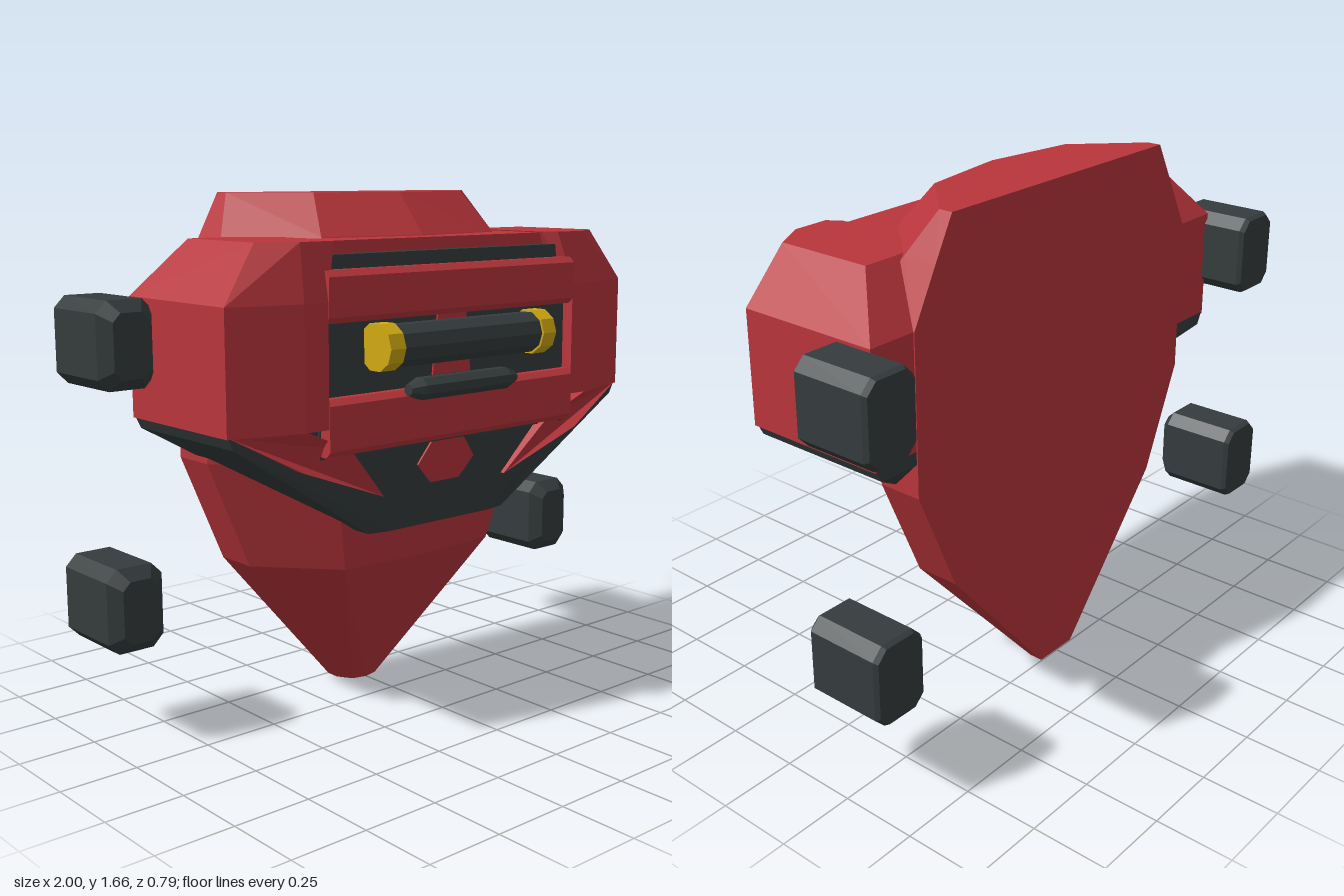
import * as THREE from 'three';

const mat = (name, color) => {
  const m = new THREE.MeshStandardMaterial({ color });
  m.name = name;
  return m;
};

// Joins equal-length rings of [x, y, z] points into a closed, faceted solid.
function loft(rings) {
  const tris = [];
  const n = rings[0].length;
  for (let r = 0; r < rings.length - 1; r++) {
    const a = rings[r], b = rings[r + 1];
    for (let i = 0; i < n; i++) {
      const j = (i + 1) % n;
      tris.push([a[i], a[j], b[j]], [a[i], b[j], b[i]]);
    }
  }
  const first = rings[0], last = rings[rings.length - 1];
  for (let i = 1; i < n - 1; i++) {
    tris.push([first[0], first[i + 1], first[i]], [last[0], last[i], last[i + 1]]);
  }
  // Turn the faces outward whichever way the rings run
  let volume = 0;
  const [a, b, c] = [0, 1, 2].map(() => new THREE.Vector3());
  for (const t of tris) {
    volume += a.set(...t[0]).dot(b.set(...t[1]).cross(c.set(...t[2])));
  }
  if (volume < 0) tris.forEach((t) => t.reverse());
  const g = new THREE.BufferGeometry();
  g.setAttribute('position', new THREE.Float32BufferAttribute(tris.flat(2), 3));
  g.computeVertexNormals();
  return g;
}

// Horizontal ring at height y; half sections are mirrored to both sides.
const level = (y, pts) => pts.map(([x, z]) => [x, y, z]);
const mirrored = (pts) => [...pts, ...pts.filter(([x]) => x !== 0).reverse().map(([x, z]) => [-x, z])];

// Rectangle with cut corners
const octagon = (w, h, c) => [
  [w, -h + c], [w, h - c], [w - c, h], [-w + c, h],
  [-w, h - c], [-w, -h + c], [-w + c, -h], [w - c, -h],
];

export function createModel() {
  const red = mat('red armour', 0xb9353c);
  const dark = mat('dark grey', 0x353c3d);
  const gold = mat('gold', 0xd2aa12);
  const model = new THREE.Group();
  const add = (name, geometry, material, x = 0, y = 0, z = 0) => {
    const m = new THREE.Mesh(geometry, material);
    m.name = name;
    m.position.set(x, y, z);
    model.add(m);
    return m;
  };

  // Tapered torso: [height, half width, side z, crease x, crease z, centre z]
  const torso = [
    [0, 0.08, -0.2, 0.05, -0.15, -0.137],
    [0.5, 0.51, -0.1, 0.31, 0.13, 0.15],
    [0.85, 0.66, -0.1, 0.39, 0.19, 0.22],
    [1.36, 0.66, -0.04, 0.4, 0.2, 0.23],
    [1.53, 0.57, -0.13, 0.36, 0.09, 0.145],
    [1.66, 0.5, -0.2, 0.31, -0.01, 0.035],
  ];
  add('torso', loft(torso.map(([y, w, zs, xf, zf, zc]) =>
    level(y, mirrored([[w, -0.247], [w, zs], [xf, zf], [0, zc]])))), red);

  // Dark belly wedge
  add('belly', loft([
    level(0.63, mirrored([[0.29, 0.07], [0.29, 0.22], [0.22, 0.235]])),
    level(0.96, mirrored([[0.8, -0.243], [0.8, 0.245], [0.6, 0.265]])),
    level(1.0, mirrored([[0.82, -0.243], [0.82, 0.247], [0.6, 0.27]])),
  ]), dark);

  // Dark core behind the grille, and the red deck over it
  add('grilleCore', new THREE.BoxGeometry(1.04, 0.59, 0.47), dark, 0, 1.195, 0.04);
  add('topDeck', new THREE.BoxGeometry(0.92, 0.13, 0.23), red, 0, 1.462, 0.115);
  add('deckGroove', new THREE.BoxGeometry(0.94, 0.1, 0.08), dark, 0, 1.44, 0.232);

  // Shoulder blocks and the flaps hanging from them
  const shoulder = [[0.5, -0.243], [0.825, -0.243], [0.825, 0.25], [0.6, 0.315], [0.515, 0.315], [0.515, 0.25]];
  const shoulderTop = [[0.44, -0.11], [0.7, -0.11], [0.7, 0.22], [0.59, 0.285], [0.47, 0.285], [0.44, 0.24]];
  const flap = [
    [0.822, 1.0, 0.25], [0.58, 0.87, 0.28], [0.3, 0.765, 0.262],
    [0.26, 0.75, 0.26], [0.42, 0.92, 0.3], [0.6, 1.0, 0.315],
  ];
  for (const s of [1, -1]) {
    const flip = (ring) => ring.map(([x, y, z]) => [s * x, y, z]);
    const side = s > 0 ? 'left' : 'right';
    add(side + 'Shoulder', loft([level(0.995, shoulder), level(1.36, shoulder), level(1.53, shoulderTop)].map(flip)), red);
    add(side + 'Flap', loft([flap, flap.map(([x, y, z]) => [x, y, z - 0.06])].map(flip)), red);
  }

  // Grille bars with chamfered edges
  for (const [name, y, h] of [['upperBar', 1.373, 0.076], ['lowerBar', 0.995, 0.085]]) {
    const ring = (x) => octagon(h, 0.05, 0.018).map(([v, z]) => [x, y + v, 0.268 + z]);
    add(name, loft([ring(-0.515), ring(0.515)]), red);
  }

  // Thin red plates on the dark front
  const plate = (name, pts, zLow, zHigh, yLow, yHigh) => {
    const ring = (d) => pts.map(([x, y]) => [x, y, zLow + (zHigh - zLow) * (y - yLow) / (yHigh - yLow) + d]);
    add(name, loft([ring(0), ring(0.009)]), red);
  };
  plate('bellyPlate', [[-0.12, 0.83], [-0.06, 0.765], [0.06, 0.765], [0.12, 0.83], [0.06, 0.91], [-0.06, 0.91]],
    0.244, 0.259, 0.765, 0.91);
  plate('grillePlate', [[-0.08, 1.11], [0.08, 1.11], [0.06, 1.3], [-0.06, 1.3]], 0.272, 0.272, 1.11, 1.3);

  // Horizontal canister with gold end caps
  const tube = (r, len) => new THREE.CylinderGeometry(r, r, len, 10).toNonIndexed().rotateZ(Math.PI / 2);
  const faceted = (g) => { g.computeVertexNormals(); return g; };
  add('canister', faceted(tube(0.066, 0.62)), dark, 0, 1.22, 0.323);
  for (const s of [1, -1]) add('canisterCap', faceted(tube(0.073, 0.058)), gold, s * 0.321, 1.22, 0.323);

  // Small handle with tapered ends
  const handleRing = (x, k) => octagon(0.033 * k, 0.035 * k, 0.02 * k).map(([v, z]) => [x, 1.083 + v, 0.33 + z]);
  add('handle', loft([handleRing(-0.225, 0.5), handleRing(-0.18, 1), handleRing(0.18, 1), handleRing(0.225, 0.5)]), dark);

  // Four free-standing pads, chamfered at the front end
  const padRing = (z, inset) => octagon(0.095 - inset, 0.132 - inset, 0.036 - inset * 0.3).map(([x, y]) => [x, y, z]);
  const pad = loft([padRing(-0.395, 0.008), padRing(-0.38, 0), padRing(-0.137, 0), padRing(-0.1, 0.035)]);
  for (const s of [1, -1]) {
    add('upperPad', pad, dark, s * 0.905, 1.23, 0);
    add('lowerPad', pad, dark, s * 0.905, 0.435, 0);
  }
  return model;
}
